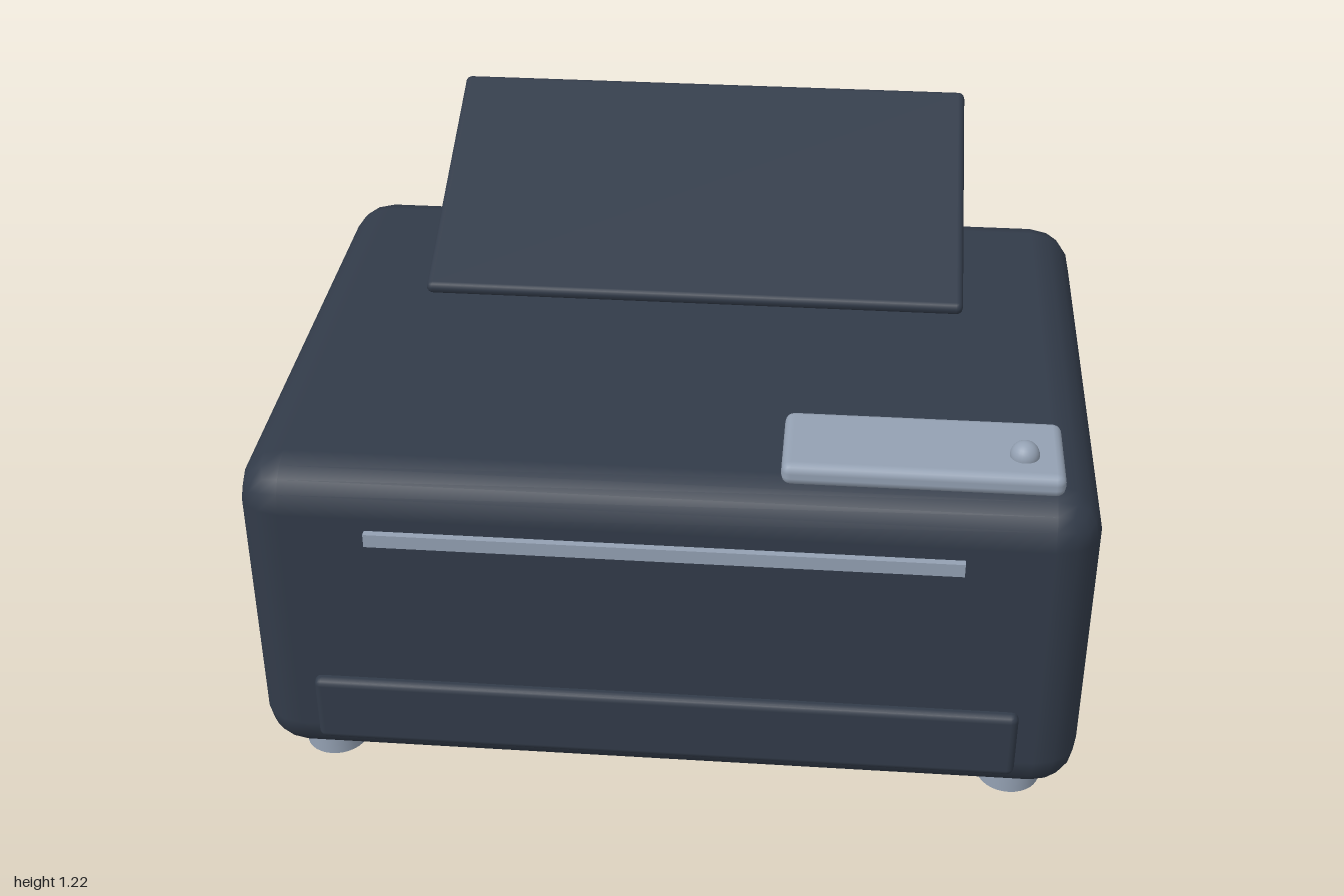
import * as THREE from 'three';
import { RoundedBoxGeometry } from 'three/addons/geometries/RoundedBoxGeometry.js';

export function createModel() {
  const model = new THREE.Group();
  const charcoal = new THREE.MeshStandardMaterial({ color: 0x323b49 });
  charcoal.name = 'charcoal plastic';
  const grey = new THREE.MeshStandardMaterial({ color: 0x94a1b3 });
  grey.name = 'blue grey plastic';

  const add = (name, geometry, material, x, y, z) => {
    const mesh = new THREE.Mesh(geometry, material);
    mesh.name = name;
    mesh.position.set(x, y, z);
    model.add(mesh);
    return mesh;
  };

  // Housing with softly bevelled edges
  add('housing', new RoundedBoxGeometry(2, 0.84, 1.46, 2, 0.11), charcoal, 0, 0.465, 0.03);

  // Tilted paper support floating above the rear
  const tray = add('paperSupport', new RoundedBoxGeometry(1.38, 0.035, 0.767, 2, 0.0165), charcoal, 0, 1.063, -0.423);
  tray.rotation.x = 0.38;

  // Front: output slot and paper drawer
  add('outputSlot', new THREE.BoxGeometry(1.38, 0.034, 0.04), grey, 0, 0.727, 0.757);
  add('paperDrawer', new RoundedBoxGeometry(1.69, 0.18, 0.06, 2, 0.018), charcoal, 0, 0.22, 0.755);

  // Control panel with a domed button
  add('controlPanel', new RoundedBoxGeometry(0.64, 0.056, 0.244, 2, 0.022), grey, 0.585, 0.911, 0.582);
  add('button', new THREE.SphereGeometry(0.034, 24, 16), grey, 0.813, 0.941, 0.613);

  // Four round feet
  const foot = new THREE.CylinderGeometry(0.076, 0.076, 0.056, 32);
  for (const x of [-0.847, 0.847])
    for (const z of [-0.555, 0.615]) add('foot', foot, grey, x, 0.028, z);

  return model;
}
